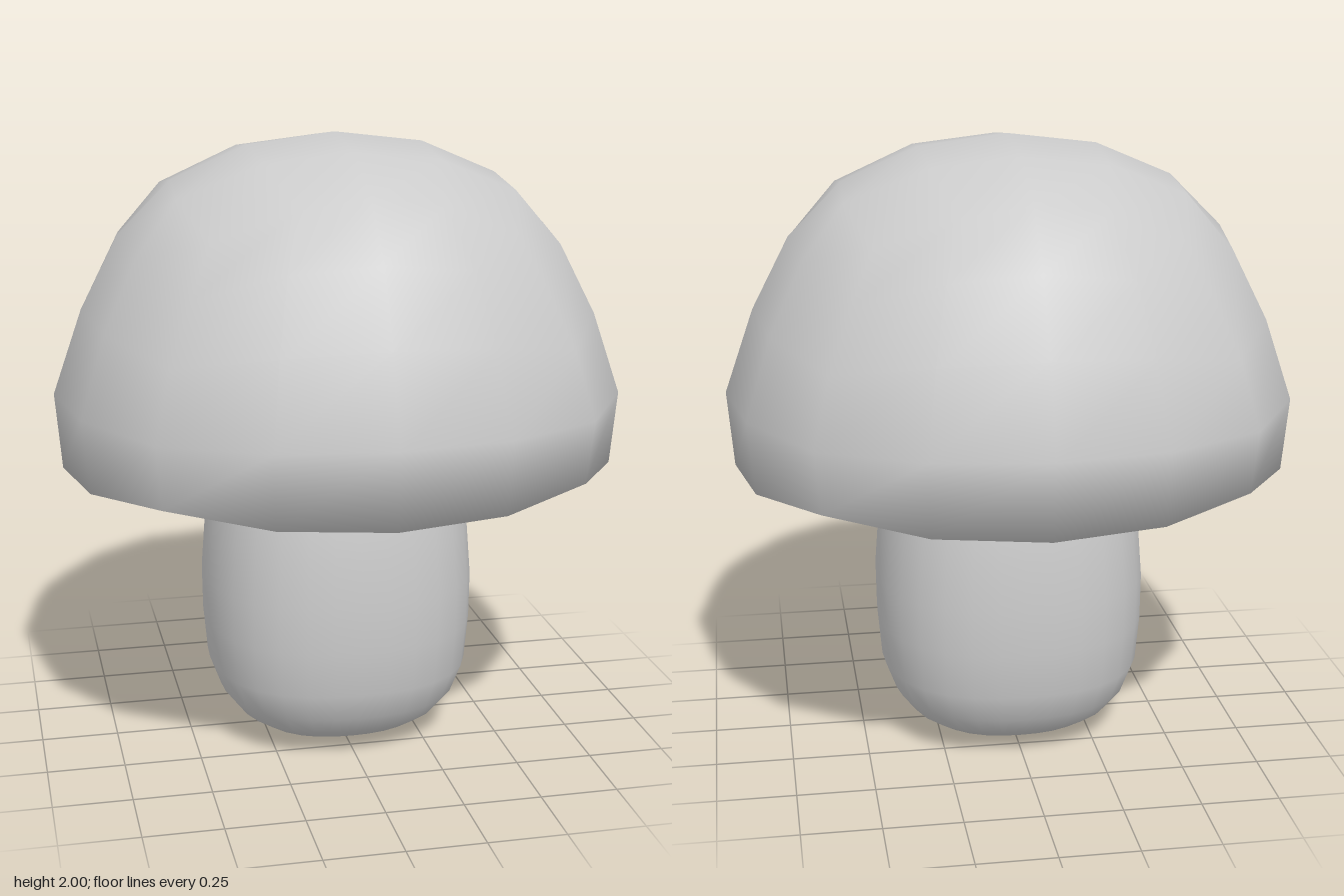
import * as THREE from 'three';
import { mergeVertices } from 'three/addons/utils/BufferGeometryUtils.js';

const material = new THREE.MeshStandardMaterial({ color: 0xcccccc });

// Weld seams so that shading is smooth over the whole surface
function smooth(geometry) {
  geometry.deleteAttribute('uv');
  geometry.deleteAttribute('normal');
  const welded = mergeVertices(geometry, 1e-4);
  welded.computeVertexNormals();
  return welded;
}

function reshape(geometry, rule) {
  const p = geometry.attributes.position;
  const v = new THREE.Vector3();
  for (let i = 0; i < p.count; i++) {
    rule(v.fromBufferAttribute(p, i));
    p.setXYZ(i, v.x, v.y, v.z);
  }
  return smooth(geometry);
}

// Cap rings from top to bottom: [radius, y] on the axes, then at the corners
const rings = [
  [0.53, 1.86, 0.665, 1.73],
  [0.70, 1.69, 0.77, 1.57],
  [0.82, 1.46, 0.87, 1.39],
  [0.915, 1.19, 0.944, 1.18],
  [0.895, 0.945, 0.92, 0.98],
];
const innerTop = [0.285, 1.965, 0.39, 1.935];
const innerBottom = [0.48, 0.89, 0.66, 0.89];

// A gridded cube rounded into a dome with a nearly flat underside
function capGeometry() {
  return reshape(new THREE.BoxGeometry(2, 2, 2, 4, 4, 4), (v) => {
    const ax = Math.abs(v.x), az = Math.abs(v.z);
    const m = Math.max(ax, az);
    if (m < 0.01) return v.set(0, v.y > 0 ? 2 : 0.89, 0);
    const k = Math.min(ax, az) / m;
    const ring = m > 0.9 ? rings[Math.round((1 - v.y) * 2)] : v.y > 0 ? innerTop : innerBottom;
    const r = THREE.MathUtils.lerp(ring[0], ring[2], k * (0.5 + 0.5 * k));
    const y = THREE.MathUtils.lerp(ring[1], ring[3], k * k);
    const a = k * Math.PI / 4;
    const major = r * Math.cos(a), minor = r * Math.sin(a);
    return v.set(
      Math.sign(v.x) * (ax >= az ? major : minor),
      y,
      Math.sign(v.z) * (ax >= az ? minor : major) * 0.975,
    );
  });
}

// A bulging stem, slightly squared in plan, with a rounded foot
function stemGeometry() {
  const profile = [
    [0, 0], [0.15, 0.012], [0.28, 0.045], [0.345, 0.09], [0.395, 0.155], [0.43, 0.25],
    [0.443, 0.4], [0.445, 0.55], [0.432, 0.72], [0.405, 0.9], [0.36, 1.05], [0, 1.1],
  ].map(([r, y]) => new THREE.Vector2(r, y));
  return reshape(new THREE.LatheGeometry(profile, 32), (v) => {
    const s = Math.sin(2 * Math.atan2(v.z, v.x));
    const squared = 1 + 0.06 * s * s;
    v.x *= squared;
    v.z *= squared;
  });
}

export function createModel() {
  const group = new THREE.Group();
  group.name = 'mushroom';
  for (const [name, geometry] of [['cap', capGeometry()], ['stem', stemGeometry()]]) {
    const mesh = new THREE.Mesh(geometry, material);
    mesh.name = name;
    group.add(mesh);
  }
  return group;
}
